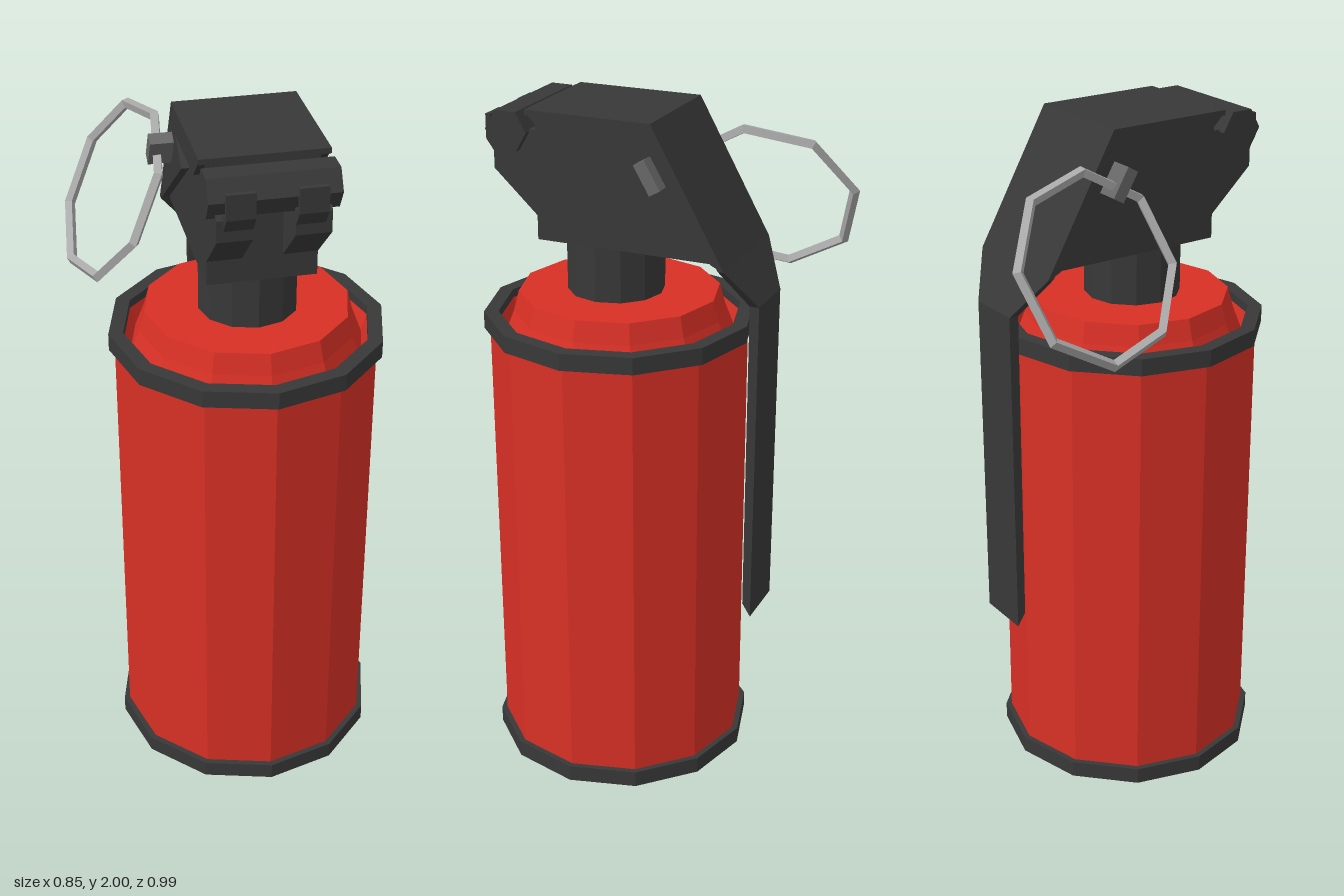
import * as THREE from 'three';

const CX = 0.0325, CZ = 0.1; // axis of the canister

export function createModel() {
  const model = new THREE.Group();
  const mat = (name, color, side = THREE.FrontSide) => {
    const m = new THREE.MeshStandardMaterial({ color, flatShading: true, side });
    m.name = name;
    return m;
  };
  const red = mat('red paint', 0xd83025);
  const dark = mat('dark metal', 0x383838);
  const steel = mat('pin steel', 0x686868);
  const silver = mat('ring silver', 0xaaaaaa);

  const add = (name, geometry, material, x = 0, y = 0, z = 0) => {
    const mesh = new THREE.Mesh(geometry, material);
    mesh.name = name;
    mesh.position.set(x, y, z);
    model.add(mesh);
    return mesh;
  };
  const lathe = (pts) => new THREE.LatheGeometry(pts.map(p => new THREE.Vector2(...p)), 12);

  // Side outline given as [z, y], extruded along x from x0 to x1
  const slab = (name, pts, x0, x1) => {
    const shape = new THREE.Shape(pts.map(([z, y]) => new THREE.Vector2(-z, y)));
    const g = new THREE.ExtrudeGeometry(shape, { depth: x1 - x0, bevelEnabled: false });
    g.rotateY(Math.PI / 2);
    return add(name, g, dark, x0);
  };

  // Canister with sunken groove and raised shoulder
  add('canister', lathe([[0, 0.025], [0.375, 0.025], [0.375, 1.38], [0.353, 1.39],
    [0.335, 1.33], [0.306, 1.405], [0.29, 1.465], [0, 1.465]]), red, CX, 0, CZ);
  for (const [name, y0, y1] of [['bottomRim', 0, 0.05], ['topRim', 1.355, 1.405]]) {
    add(name, lathe([[0.35, y0], [0.392, y0], [0.392, y1], [0.35, y1], [0.35, y0]]), dark, CX, 0, CZ);
  }
  add('neck', new THREE.CylinderGeometry(0.14, 0.14, 0.2, 12), dark, CX, 1.55, 0.11);

  // Fuze head
  slab('fuzeHead', [[0.28, 1.63], [0.28, 1.985], [-0.07, 1.985], [-0.262, 1.63]], CX - 0.15, CX + 0.15);

  // Hinge arms with hooks, and the hinge bar
  for (const s of [-1, 1]) {
    const span = (a, b) => [CX + Math.min(s * a, s * b), CX + Math.max(s * a, s * b)];
    slab('hingeArm', [[0.27, 1.69], [0.41, 1.82], [0.41, 1.88], [0.36, 1.94], [0.27, 1.94]], ...span(0.055, 0.15));
    slab('hingeHook', [[0.39, 1.84], [0.41, 1.85], [0.443, 1.895], [0.443, 1.965], [0.428, 1.965],
      [0.428, 1.9], [0.39, 1.885]], ...span(0.055, 0.132));
    // Folded side flange of the lever
    slab('leverFlange', [[0.30, 1.995], [0.23, 1.926], [-0.02, 1.926], [0.06, 1.865], [-0.25, 1.635],
      [-0.282, 1.62], [-0.07, 1.995]], ...span(0.15, 0.172));
  }
  const bar = add('hingeBar', new THREE.CylinderGeometry(0.063, 0.063, 0.345, 6), dark, CX, 1.935, 0.36);
  bar.rotation.z = Math.PI / 2;

  // Safety lever: cross-sections [outer z, y, inner z, y, half width]
  const rows = [
    [0.30, 2.0, 0.30, 1.985, 0.1725],
    [-0.073, 2.0, -0.065, 1.985, 0.1725],
    [-0.287, 1.62, -0.27, 1.62, 0.1725],
    [-0.358, 1.5, -0.33, 1.5, 0.083],
    [-0.355, 0.52, -0.33, 0.56, 0.083],
  ];
  const pos = [], index = [];
  for (const [oz, oy, iz, iy, w] of rows) {
    pos.push(CX - w, oy, oz, CX + w, oy, oz, CX + w, iy, iz, CX - w, iy, iz);
  }
  for (let r = 0; r < rows.length - 1; r++) {
    for (let k = 0; k < 4; k++) {
      const a = r * 4 + k, b = r * 4 + (k + 1) % 4;
      index.push(a, b, b + 4, a, b + 4, a + 4);
    }
  }
  const e = (rows.length - 1) * 4;
  index.push(0, 2, 1, 0, 3, 2, e, e + 1, e + 2, e, e + 2, e + 3);
  const lever = new THREE.BufferGeometry();
  lever.setAttribute('position', new THREE.Float32BufferAttribute(pos, 3));
  lever.setIndex(index);
  lever.computeVertexNormals();
  add('safetyLever', lever, dark);

  // Pin through the head, tilted along the lever slope
  const pin = add('safetyPin', new THREE.BoxGeometry(0.45, 0.092, 0.036), steel, 0.02, 1.865, -0.08);
  pin.rotation.x = 0.53;

  // Eight-sided pull ring hanging from the pin
  class Ring extends THREE.Curve {
    getPoint(t, target = new THREE.Vector3()) {
      const c = 0.96 * Math.cos(t * Math.PI * 2), s = 0.96 * Math.sin(t * Math.PI * 2);
      return target.set(-0.287 - 0.019 * c + 0.127 * s, 1.685 + 0.045 * c + 0.235 * s,
        -0.226 - 0.267 * c + 0.036 * s);
    }
  }
  add('pullRing', new THREE.TubeGeometry(new Ring(), 8, 0.016, 4, true), silver);

  return model;
}
